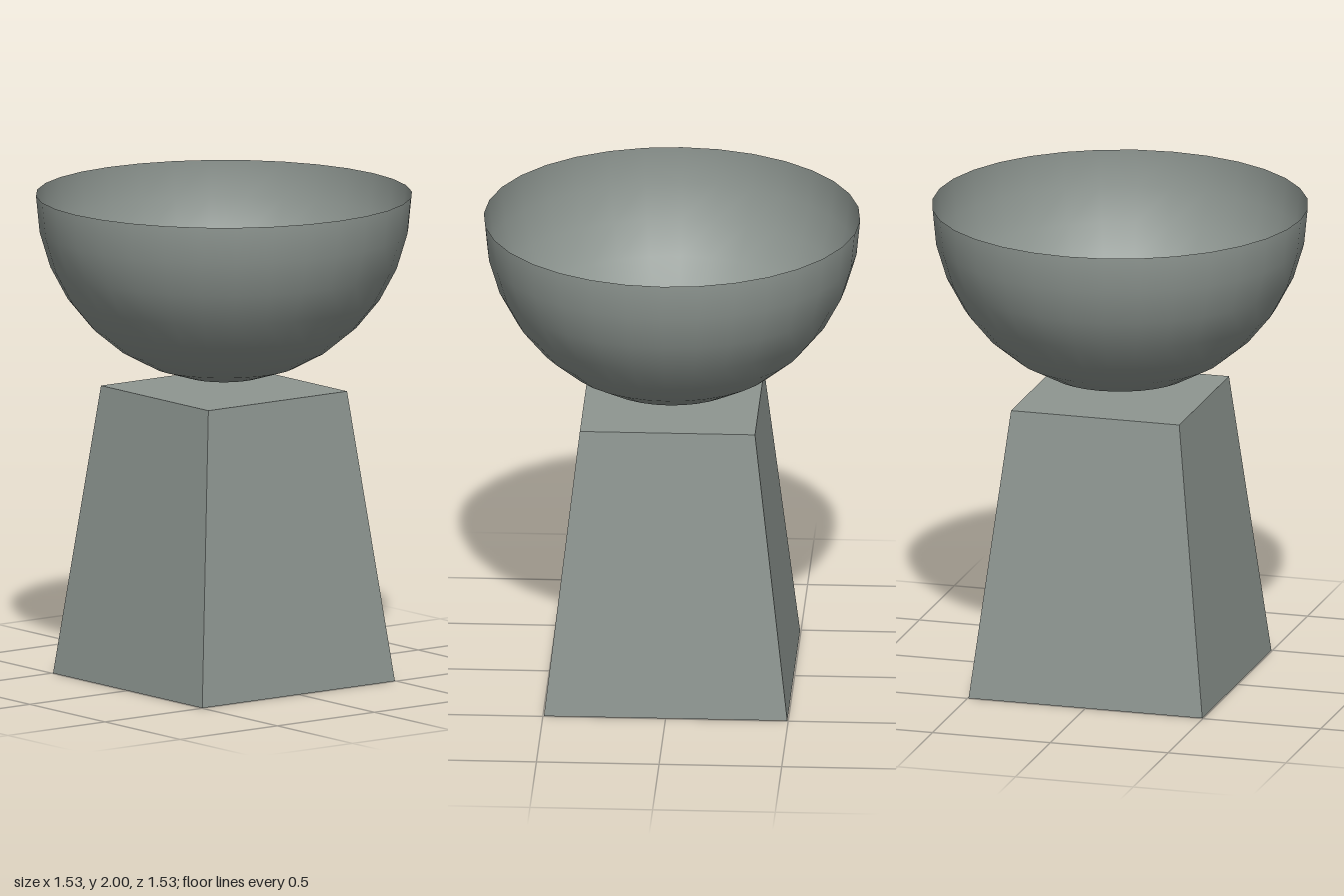
import * as THREE from 'three';

export function createModel() {
  const model = new THREE.Group();
  const color = 0x8e9691;
  const stone = new THREE.MeshStandardMaterial({ color, side: THREE.DoubleSide });
  stone.name = 'grey stone';

  // Square tapered pedestal: a four-sided cylinder turned to face front
  const height = 1.195;
  const pedestalGeometry = new THREE.CylinderGeometry(0.357 * Math.SQRT2, 0.496 * Math.SQRT2, height, 4)
    .rotateY(Math.PI / 4)
    .toNonIndexed();
  pedestalGeometry.computeVertexNormals();
  const pedestal = new THREE.Mesh(pedestalGeometry, stone);
  pedestal.name = 'pedestal';
  pedestal.position.y = height / 2;

  // Thin open hemispherical bowl hovering just above the pedestal
  const bowl = new THREE.Mesh(
    new THREE.SphereGeometry(0.767, 32, 8, 0, Math.PI * 2, Math.PI / 2, Math.PI / 2),
    stone
  );
  bowl.name = 'bowl';
  bowl.position.y = 2;

  model.add(pedestal, bowl);
  return model;
}
